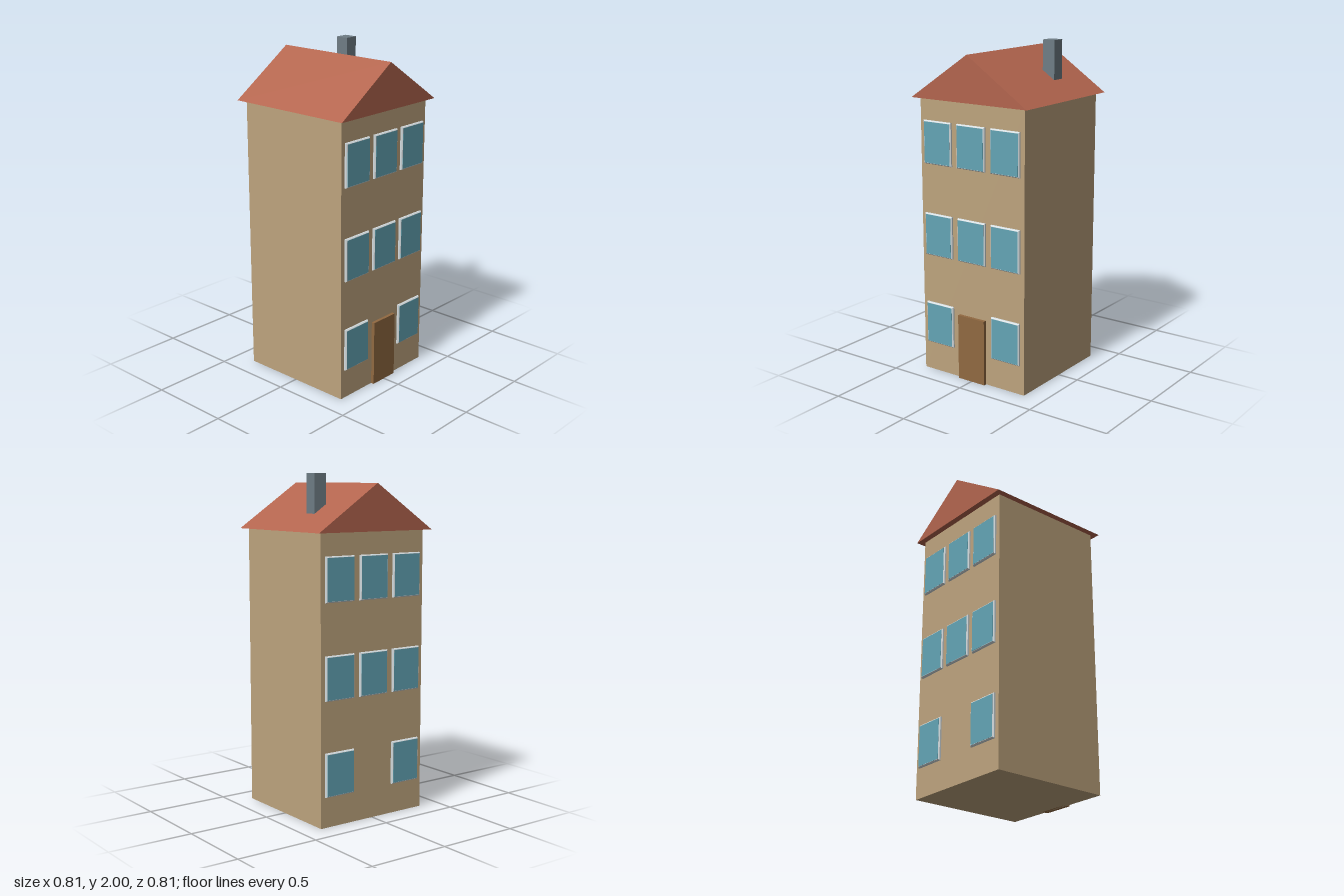
import * as THREE from 'three';

const mat = (name, color) => {
  const m = new THREE.MeshStandardMaterial({ color });
  m.name = name;
  return m;
};

export function createModel() {
  const wall = mat('sandstone wall', 0xbea47e);
  const tile = mat('terracotta tile', 0xb3654e);
  const stone = mat('grey stone', 0x6f7d85);
  const wood = mat('brown wood', 0x916941);
  const glass = mat('blue glass', 0x63a5b5);
  const trim = mat('pale trim', 0xd5dde0);

  const model = new THREE.Group();
  model.name = 'townhouse';

  const add = (parent, name, geometry, material, x, y, z) => {
    const mesh = new THREE.Mesh(geometry, material);
    mesh.name = name;
    mesh.position.set(x, y, z);
    parent.add(mesh);
    return mesh;
  };

  // Body, chimney and door
  const half = 0.368;
  const eaves = 1.675, ridge = 1.945, overhang = 0.405;
  add(model, 'walls', new THREE.BoxGeometry(half * 2, eaves, half * 2), wall, 0, eaves / 2, 0);
  add(model, 'chimney', new THREE.BoxGeometry(0.08, 0.3, 0.08), stone, 0.22, 1.85, -0.12);
  add(model, 'door', new THREE.BoxGeometry(0.19, 0.4, 0.04), wood, 0, 0.2, half);

  // Gabled roof, closed underneath
  const gable = new THREE.Shape();
  gable.moveTo(-overhang, eaves);
  gable.lineTo(overhang, eaves);
  gable.lineTo(0, ridge);
  gable.closePath();
  const roof = new THREE.ExtrudeGeometry(gable, { depth: overhang * 2, bevelEnabled: false });
  add(model, 'roof', roof, tile, 0, 0, -overhang);

  // Windows: a chamfered frame sunk in the wall, with a pane on its face
  const w = 0.2, h = 0.257, chamfer = 0.006, depth = 0.015;
  const outline = new THREE.Shape();
  const a = w / 2 - chamfer, b = h / 2 - chamfer;
  outline.moveTo(-a, -b);
  outline.lineTo(a, -b);
  outline.lineTo(a, b);
  outline.lineTo(-a, b);
  outline.closePath();
  const frameGeometry = new THREE.ExtrudeGeometry(outline, {
    depth, bevelThickness: chamfer, bevelSize: chamfer, bevelSegments: 1,
  });
  const paneGeometry = new THREE.BoxGeometry(w - 0.015, h - 0.015, 0.004);

  for (const side of ['front', 'back']) {
    const facade = new THREE.Group();
    facade.name = side + 'Windows';
    if (side === 'back') facade.rotation.y = Math.PI;
    [0.307, 0.862, 1.417].forEach((y, floor) => {
      for (const x of [-0.24, 0, 0.24]) {
        if (floor === 0 && x === 0) continue; // door bay
        add(facade, 'windowFrame', frameGeometry, trim, x, y, half - chamfer);
        add(facade, 'windowPane', paneGeometry, glass, x, y, half + depth - 0.001);
      }
    });
    model.add(facade);
  }

  return model;
}
